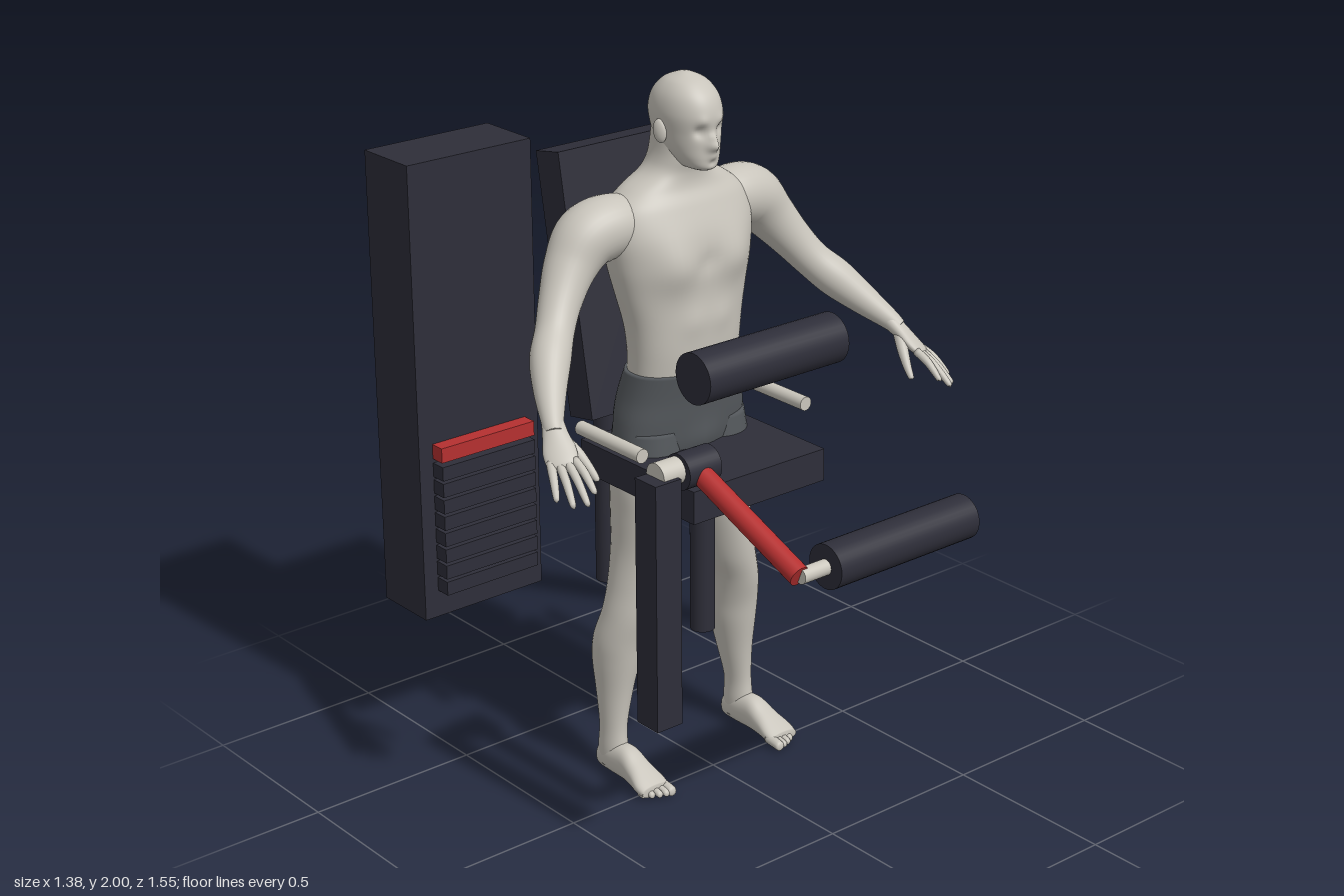
import * as THREE from 'three';

const mat = (name, color) => {
  const m = new THREE.MeshStandardMaterial({ color });
  m.name = name;
  return m;
};

// Smooth skin over cross-sections [x, y, z, radiusU, radiusV]; axis fixes the ring plane, otherwise rings follow the path
function loft(rows, { axis = null, u = [1, 0, 0], seg = 32, sub = 6, n = 2, bumps = [] } = {}) {
  const rings = [];
  const at = i => rows[Math.max(0, Math.min(rows.length - 1, i))];
  for (let i = 0; i < rows.length - 1; i++) {
    for (let k = 0; k < sub; k++) {
      const t = k / sub;
      rings.push(at(i).map((b, c) => {
        const a = at(i - 1)[c], d = at(i + 1)[c], e = at(i + 2)[c];
        return b + 0.5 * t * (d - a + t * (2 * a - 5 * b + 4 * d - e + t * (3 * (b - d) + e - a)));
      }));
    }
  }
  rings.push(at(rows.length - 1));
  const P = rings.map(r => new THREE.Vector3(r[0], r[1], r[2]));
  const pos = [], idx = [], last = rings.length - 1;
  rings.forEach((r, i) => {
    const t = axis ? new THREE.Vector3(...axis)
      : P[Math.min(i + 1, last)].clone().sub(P[Math.max(i - 1, 0)]).normalize();
    const V = t.clone().cross(new THREE.Vector3(...u)).normalize();
    const U = V.clone().cross(t);
    for (let j = 0; j < seg; j++) {
      const a = (j / seg) * Math.PI * 2, c = Math.cos(a), s = Math.sin(a);
      const p = P[i].clone()
        .addScaledVector(U, Math.sign(c) * Math.abs(c) ** (2 / n) * Math.max(r[3], 0.001))
        .addScaledVector(V, Math.sign(s) * Math.abs(s) ** (2 / n) * Math.max(r[4], 0.001));
      // Soft bumps [x, y, z, reach, push along z]
      let push = 0;
      for (const [x, y, z, reach, dz] of bumps) {
        const d2 = (p.x - x) ** 2 + (p.y - y) ** 2 + (p.z - z) ** 2;
        push += dz * Math.exp(-d2 / (reach * reach));
      }
      pos.push(p.x, p.y, p.z + push);
      if (i < last) {
        const A = i * seg + j, B = i * seg + (j + 1) % seg;
        idx.push(A, B, B + seg, A, B + seg, A + seg);
      }
    }
  });
  const c0 = pos.length / 3;
  pos.push(...P[0].toArray(), ...P[last].toArray());
  for (let j = 0; j < seg; j++) {
    const k = (j + 1) % seg;
    idx.push(c0, k, j, c0 + 1, last * seg + j, last * seg + k);
  }
  const g = new THREE.BufferGeometry();
  g.setAttribute('position', new THREE.Float32BufferAttribute(pos, 3));
  g.setIndex(idx);
  g.computeVertexNormals();
  return g;
}

// Upright cross-section from its front and back z
const up = (x, y, zf, zb, w) => [x, y, (zf + zb) / 2, w, (zf - zb) / 2];

export function createModel() {
  const model = new THREE.Group();
  const skin = mat('skin', 0xc8c4bb), shorts = mat('shorts', 0x54585c);
  const dark = mat('dark padding', 0x2e2e39), red = mat('red steel', 0xb53030);
  const light = mat('light metal', 0xcac6bc);

  const add = (name, geo, m, p = [0, 0, 0], parent = model) => {
    const mesh = new THREE.Mesh(geo, m);
    mesh.name = name;
    mesh.position.set(...p);
    parent.add(mesh);
    return mesh;
  };
  const box = (name, m, x0, x1, y0, y1, z0, z1) => add(name, new THREE.BoxGeometry(x1 - x0, y1 - y0, z1 - z0), m,
    [(x0 + x1) / 2, (y0 + y1) / 2, (z0 + z1) / 2]);
  const rod = (name, m, r, a, b) => {
    const A = new THREE.Vector3(...a), B = new THREE.Vector3(...b), d = B.clone().sub(A);
    const mesh = add(name, new THREE.CylinderGeometry(r, r, d.length(), 32), m, A.clone().add(B).multiplyScalar(0.5).toArray());
    mesh.quaternion.setFromUnitVectors(new THREE.Vector3(0, 1, 0), d.normalize());
  };

  // Weight tower and stack
  box('weightTower', dark, -0.565, -0.16, 0.42, 1.745, -0.775, -0.578);
  for (let i = 0; i < 8; i++) {
    const y = 0.5 + i * 0.0495;
    box('weightPlate', dark, -0.52, -0.205, y, y + 0.041, -0.6, -0.532);
  }
  box('topPlate', red, -0.52, -0.205, 0.9, 0.943, -0.6, -0.534);

  // Seat, backrest and posts
  box('seat', dark, -0.23, 0.23, 0.88, 0.973, -0.287, 0.193);
  add('backrest', new THREE.BoxGeometry(0.405, 0.74, 0.1), dark, [0, 1.381, -0.383]).rotation.x = -Math.PI / 18;
  rod('backPost', dark, 0.035, [0, 0.42, -0.47], [0, 1.38, -0.47]);
  rod('seatPost', dark, 0.035, [0, 0.42, -0.046], [0, 0.9, -0.046]);
  for (const s of [-1, 1]) rod('handle', light, 0.02, [s * 0.288, 1.046, -0.21], [s * 0.288, 1.046, 0.053]);

  // Rollers and swing arm
  rod('thighRoller', dark, 0.07, [-0.24, 1.295, 0.203], [0.24, 1.295, 0.203]);
  rod('footRoller', dark, 0.06, [-0.24, 0.947, 0.712], [0.24, 0.947, 0.712]);
  rod('rollerAxle', light, 0.021, [-0.325, 0.947, 0.712], [-0.23, 0.947, 0.712]);
  rod('swingArm', red, 0.029, [-0.326, 1.11, 0.31], [-0.326, 0.947, 0.712]);
  rod('pivotHub', dark, 0.049, [-0.38, 1.11, 0.31], [-0.275, 1.11, 0.31]);
  rod('pivotAxle', light, 0.036, [-0.45, 1.115, 0.305], [-0.37, 1.115, 0.305]);
  box('pivotPost', dark, -0.488, -0.405, 0.42, 1.112, 0.27, 0.353);

  // Seated user's figure
  const figure = new THREE.Group();
  figure.name = 'figure';
  model.add(figure);
  const part = (name, geo, m = skin) => add(name, geo, m, [0, 0, 0], figure);
  const both = (x, ...rest) => [[x, ...rest], [-x, ...rest]];

  // Torso and neck
  part('torso', loft([
    up(0, 1.16, -0.03, -0.23, 0.168), up(0, 1.25, -0.02, -0.228, 0.172), up(0, 1.33, -0.018, -0.235, 0.182),
    up(0, 1.42, -0.02, -0.25, 0.204), up(0, 1.5, -0.02, -0.264, 0.222), up(0, 1.58, -0.026, -0.268, 0.23),
    up(0, 1.65, -0.05, -0.263, 0.215), up(0, 1.695, -0.072, -0.25, 0.165), up(0, 1.735, -0.075, -0.234, 0.1),
    up(0, 1.78, -0.065, -0.222, 0.076), up(0, 1.85, -0.06, -0.212, 0.07),
  ], {
    axis: [0, 1, 0], seg: 64, n: 2.25,
    bumps: [...both(0.1, 1.5, -0.03, 0.07, 0.022), ...both(0.045, 1.34, -0.02, 0.04, 0.006),
      [0, 1.5, -0.02, 0.03, -0.008], [0, 1.42, -0.25, 0.06, 0.014], ...both(0.13, 1.56, -0.25, 0.08, -0.008)],
  }));

  // Head with brow, eye sockets, nose, lips and chin
  part('head', loft([
    up(0, 1.752, -0.02, -0.1, 0.022), up(0, 1.762, -0.004, -0.13, 0.042), up(0, 1.785, -0.002, -0.165, 0.058),
    up(0, 1.815, -0.003, -0.2, 0.07), up(0, 1.85, -0.002, -0.218, 0.077), up(0, 1.9, 0, -0.225, 0.083),
    up(0, 1.945, -0.016, -0.21, 0.075), up(0, 1.978, -0.05, -0.178, 0.053), up(0, 1.995, -0.09, -0.14, 0.022),
    up(0, 2, -0.114, -0.116, 0.001),
  ], {
    axis: [0, 1, 0], seg: 80, sub: 8, n: 2.15,
    bumps: [[0, 1.822, 0, 0.016, 0.024], [0, 1.845, 0, 0.012, 0.01], ...both(0.032, 1.862, -0.01, 0.018, -0.013),
      ...both(0.03, 1.885, -0.005, 0.016, 0.005), [0, 1.793, 0, 0.014, 0.008], [0, 1.777, 0, 0.01, -0.006]],
  }));

  // Hips of the shorts
  part('shortsHips', loft([
    up(0, 1.195, -0.02, -0.237, 0.175), up(0, 1.12, -0.03, -0.258, 0.188), up(0, 1.05, -0.036, -0.258, 0.203),
    up(0, 0.98, -0.045, -0.245, 0.205), up(0, 0.93, -0.06, -0.22, 0.17), up(0, 0.9, -0.09, -0.19, 0.1),
  ], {
    axis: [0, -1, 0], seg: 48, n: 2.3,
    bumps: [...both(0.09, 1.08, -0.25, 0.07, -0.009), [0, 1.08, -0.26, 0.03, 0.012], [0, 0.99, -0.04, 0.05, 0.012]],
  }), shorts);

  for (const s of [-1, 1]) {
    const side = s > 0 ? 'left' : 'right';
    const map = rows => rows.map(([x, ...r]) => [s * x, ...r]);
    const down = { axis: [0, -1, 0] };

    // Ear
    const ear = part(side + 'Ear', new THREE.SphereGeometry(1, 16, 12));
    ear.scale.set(0.011, 0.032, 0.02);
    ear.position.set(s * 0.084, 1.853, -0.115);
    ear.rotation.set(-0.2, s * -0.35, 0);

    // Leg and shorts leg
    part(side + 'ShortsLeg', loft(map([
      up(0.115, 1.03, -0.045, -0.245, 0.085), up(0.117, 0.95, -0.037, -0.252, 0.096), up(0.122, 0.887, -0.034, -0.252, 0.096),
    ]), down), shorts);
    part(side + 'Leg', loft(map([
      up(0.12, 0.95, -0.045, -0.243, 0.085), up(0.122, 0.87, -0.036, -0.249, 0.092), up(0.134, 0.78, -0.035, -0.246, 0.079),
      up(0.148, 0.68, -0.038, -0.234, 0.07), up(0.17, 0.58, -0.046, -0.22, 0.068), up(0.194, 0.5, -0.06, -0.216, 0.064),
      up(0.208, 0.42, -0.08, -0.237, 0.066), up(0.213, 0.35, -0.092, -0.243, 0.062), up(0.221, 0.25, -0.108, -0.226, 0.047),
      up(0.23, 0.15, -0.116, -0.208, 0.035), up(0.232, 0.08, -0.11, -0.212, 0.036), up(0.232, 0.03, -0.11, -0.21, 0.034),
    ]), down));

    // Foot and toes
    part(side + 'Foot', loft(map([
      [0.232, 0.04, -0.216, 0.012, 0.02], [0.232, 0.044, -0.2, 0.03, 0.036], [0.232, 0.052, -0.15, 0.037, 0.046],
      [0.233, 0.055, -0.09, 0.037, 0.05], [0.235, 0.042, -0.04, 0.042, 0.038], [0.237, 0.03, 0.005, 0.05, 0.025],
      [0.237, 0.022, 0.035, 0.047, 0.016],
    ]), { axis: [0, 0, 1], n: 2.3 }));
    for (let i = 0; i < 5; i++) {
      const x = 0.2 + i * 0.0185, r = i ? 0.0105 : 0.015, z = 0.066 - i * i * 0.0022;
      part(side + 'Toe', loft(map([
        [x, 0.022, 0.01, r, r], [x, 0.018, z - 0.018, r, r], [x, 0.015, z - 0.004, r * 0.85, r * 0.85], [x, 0.014, z, 0.003, 0.003],
      ]), { axis: [0, 0, 1], seg: 12, sub: 4 }));
    }

    // Arm from shoulder to wrist
    part(side + 'Arm', loft(map([
      [0.13, 1.6, -0.16, 0.07, 0.07], [0.21, 1.608, -0.17, 0.085, 0.085], [0.285, 1.587, -0.178, 0.086, 0.086],
      [0.345, 1.525, -0.168, 0.071, 0.071], [0.4, 1.453, -0.14, 0.058, 0.058], [0.447, 1.39, -0.105, 0.052, 0.052],
      [0.497, 1.335, -0.06, 0.054, 0.054], [0.545, 1.278, 0, 0.043, 0.043], [0.588, 1.225, 0.065, 0.029, 0.029],
      [0.6, 1.205, 0.085, 0.028, 0.024],
    ]), { u: [0, 0, 1] }));

    // Hand with fanned fingers and thumb
    const across = [s * -0.75, 0.1, 0.6];
    part(side + 'Palm', loft(map([
      [0.585, 1.228, 0.06, 0.028, 0.025], [0.6, 1.2, 0.092, 0.034, 0.022], [0.613, 1.172, 0.124, 0.043, 0.019],
      [0.625, 1.148, 0.155, 0.04, 0.014], [0.629, 1.14, 0.164, 0.028, 0.007],
    ]), { u: across, seg: 24 }));
    const tips = [[0.682, 1.085, 0.2], [0.66, 1.075, 0.238], [0.632, 1.08, 0.26], [0.602, 1.1, 0.25]];
    tips.forEach(([x, y, z], i) => {
      const k = (1.5 - i) * 0.021;
      const a = [0.621 + k * 0.75, 1.153 - k * 0.1, 0.147 - k * 0.6];
      part(side + 'Finger', loft(map([
        [...a, 0.012, 0.012], [(a[0] + x) / 2, (a[1] + y) / 2 + 0.008, (a[2] + z) / 2, 0.0115, 0.0115],
        [x, y, z, 0.008, 0.008], [x, y - 0.004, z + 0.003, 0.002, 0.002],
      ]), { u: across, seg: 12, sub: 4 }));
    });
    part(side + 'Thumb', loft(map([
      [0.592, 1.195, 0.1, 0.018, 0.018], [0.57, 1.162, 0.138, 0.016, 0.016], [0.556, 1.125, 0.172, 0.012, 0.012],
      [0.55, 1.1, 0.195, 0.008, 0.008], [0.549, 1.096, 0.198, 0.002, 0.002],
    ]), { u: across, seg: 12, sub: 4 }));
  }
  return model;
}
